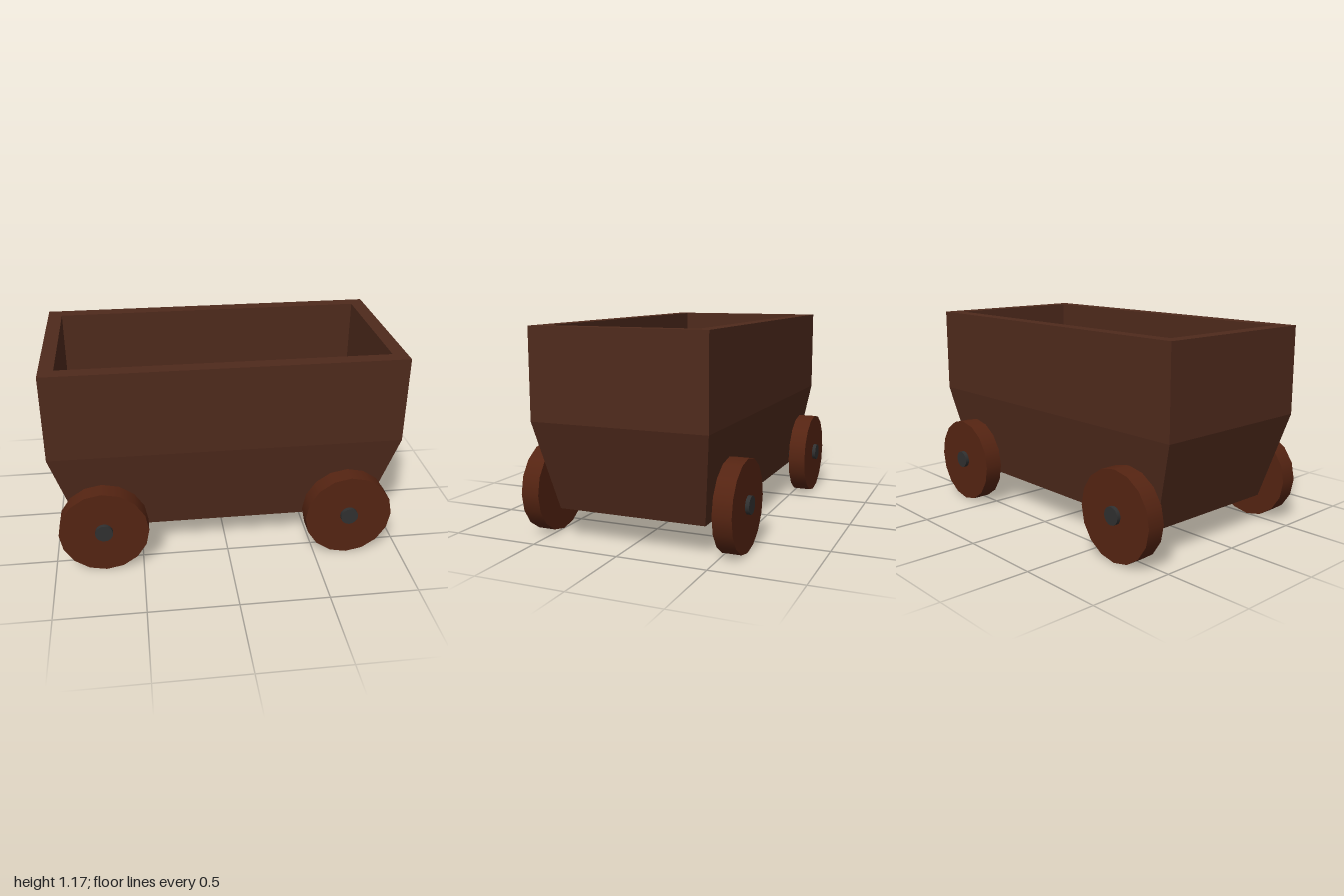
import * as THREE from 'three';

const paint = (color) => new THREE.MeshStandardMaterial({ color });

// Closed skin through rectangular rings [halfX, y, halfZ], capped at both ends
function loftRectangles(rings) {
  const positions = [];
  const index = [];
  for (const [hx, y, hz] of rings) {
    positions.push(-hx, y, hz, hx, y, hz, hx, y, -hz, -hx, y, -hz);
  }
  for (let r = 0; r < rings.length - 1; r++) {
    for (let k = 0; k < 4; k++) {
      const a = r * 4 + k;
      const b = r * 4 + ((k + 1) % 4);
      index.push(a, b, b + 4, a, b + 4, a + 4);
    }
  }
  const last = (rings.length - 1) * 4;
  index.push(0, 2, 1, 0, 3, 2, last, last + 1, last + 2, last, last + 2, last + 3);
  const indexed = new THREE.BufferGeometry();
  indexed.setAttribute('position', new THREE.Float32BufferAttribute(positions, 3));
  indexed.setIndex(index);
  const geometry = indexed.toNonIndexed();
  geometry.computeVertexNormals();
  return geometry;
}

// Disc or rod lying along z
function addRod(parent, name, radius, length, sides, material, x, y, z) {
  const geometry = new THREE.CylinderGeometry(radius, radius, length, sides);
  geometry.rotateX(Math.PI / 2);
  const mesh = new THREE.Mesh(geometry, material);
  mesh.name = name;
  mesh.position.set(x, y, z);
  parent.add(mesh);
}

export function createModel() {
  const cart = new THREE.Group();
  cart.name = 'mineCart';
  const wood = paint(0x4f2a1c);
  const wheelWood = paint(0x552412);
  const iron = paint(0x303030);

  // Open tub: tapered underside, straight sides, rim, inner walls and floor
  const tub = new THREE.Mesh(loftRectangles([
    [0.85, 0.17, 0.425],
    [1, 0.67, 0.5],
    [1, 1.17, 0.5],
    [0.918, 1.17, 0.418],
    [0.918, 0.5, 0.418],
  ]), wood);
  tub.name = 'tub';
  tub.position.z = -0.008;
  cart.add(tub);

  // Wheel pairs, each with an axle running below the tub floor
  for (const [end, x] of [['right', -0.713], ['left', 0.69]]) {
    addRod(cart, `${end}Axle`, 0.05, 1.255, 16, iron, x, 0.26, 0);
    for (const [face, side] of [['Front', 1], ['Back', -1]]) {
      addRod(cart, `${end}${face}Wheel`, 0.252, 0.105, 16, wheelWood, x, 0.252, side * 0.553);
    }
  }
  return cart;
}
